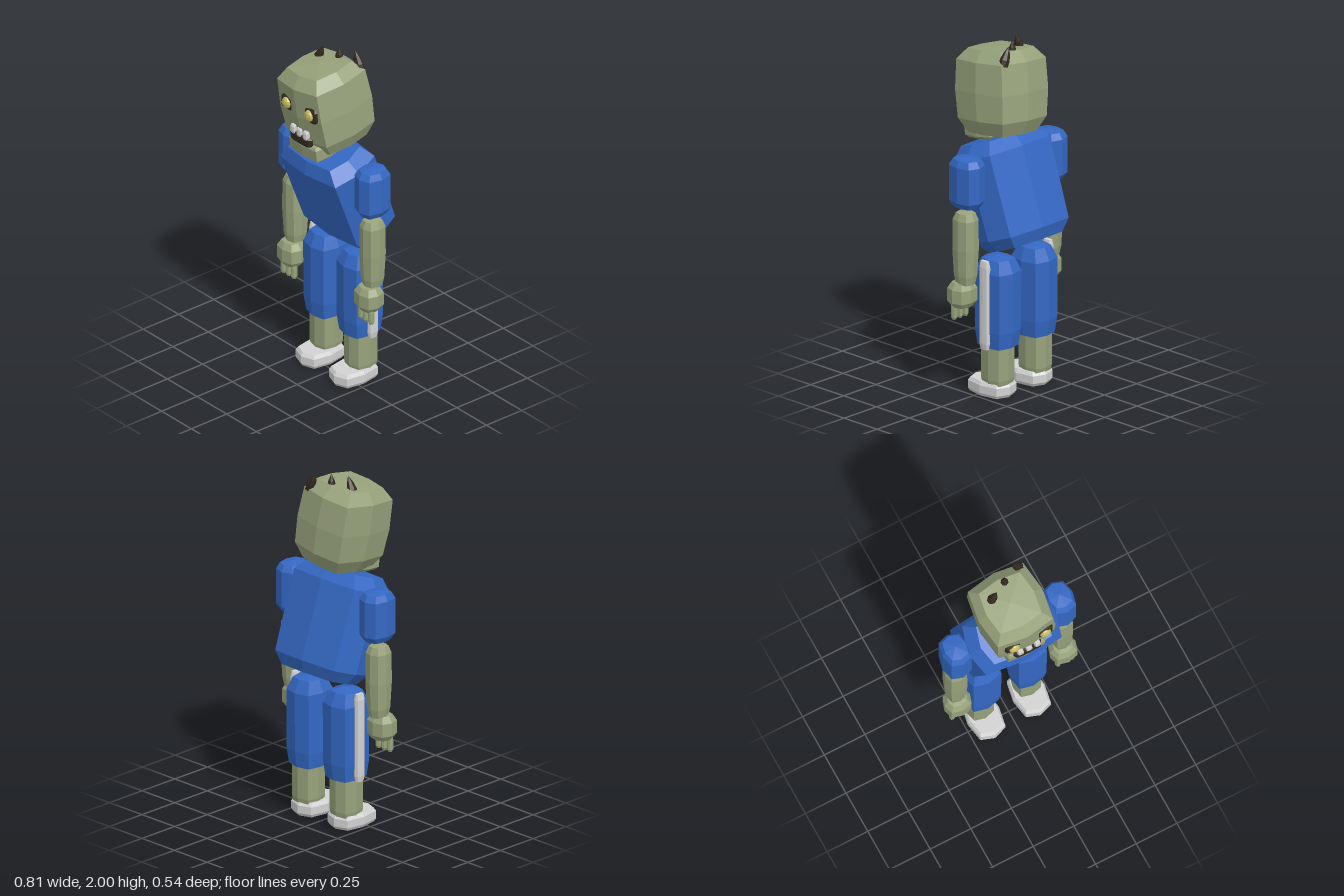
import * as THREE from 'three';

const mat = (name, color) => Object.assign(new THREE.MeshStandardMaterial({ color, flatShading: true }), { name });

// Loft of eight-sided rounded rings [y, halfWidth, halfDepth]; corner sets how square they are.
function loft(rings, corner = 0.8, dome = 0) {
  const pos = [], idx = [], n = 8;
  for (const [y, w, d] of rings) {
    for (let i = 0; i < n; i++) {
      const a = (i * Math.PI) / 4, k = i % 2 ? corner / Math.SQRT1_2 : 1;
      pos.push(Math.sin(a) * k * w, y, Math.cos(a) * k * d);
    }
  }
  const last = rings.length - 1;
  for (let r = 0; r < last; r++) {
    for (let i = 0; i < n; i++) {
      const j = (i + 1) % n, a = r * n + i, b = r * n + j;
      idx.push(a, b, b + n, a, b + n, a + n);
    }
  }
  // end caps meet at a centre point
  const low = rings.length * n, high = low + 1;
  pos.push(0, rings[0][0] - dome, 0, 0, rings[last][0] + dome, 0);
  for (let i = 0; i < n; i++) {
    const j = (i + 1) % n;
    idx.push(low, j, i, high, last * n + i, last * n + j);
  }
  const g = new THREE.BufferGeometry();
  g.setAttribute('position', new THREE.Float32BufferAttribute(pos, 3));
  g.setIndex(idx);
  const flat = g.toNonIndexed();
  flat.computeVertexNormals();
  return flat;
}

export function createModel() {
  const model = new THREE.Group();
  model.name = 'monster';
  const skin = mat('green skin', 0x97a27b);
  const cloth = mat('blue cloth', 0x3468c4);
  const dark = mat('dark brown', 0x33291f);
  const white = mat('pale grey', 0xd2d2d2);
  const yellow = mat('yellow eye', 0xc9be62);

  const add = (name, geometry, material, x, y, z, parent = model) => {
    const m = new THREE.Mesh(geometry, material);
    m.name = name;
    m.position.set(x, y, z);
    parent.add(m);
    return m;
  };

  // Torso, leaning forward
  const torso = add('torso', loft([
    [-0.3, 0.215, 0.125], [-0.235, 0.262, 0.165], [0.225, 0.27, 0.172], [0.297, 0.205, 0.132],
  ], 0.86), cloth, 0, 1.14, -0.04);
  torso.rotation.x = 0.35;

  // Head, tilted to one side and forward
  const head = add('head', loft([
    [-0.235, 0.15, 0.15], [-0.155, 0.195, 0.197], [0, 0.203, 0.208], [0.17, 0.195, 0.2], [0.232, 0.145, 0.145],
  ], 0.87, 0.008), skin, -0.005, 1.695, 0.04);
  head.rotation.set(0.13, 0, 0.1);

  const jaw = add('jaw', loft([
    [-0.05, 0.11, 0.09], [-0.035, 0.125, 0.105], [0.035, 0.125, 0.105], [0.05, 0.115, 0.095],
  ], 0.9), skin, 0, 1.468, 0.115);
  jaw.rotation.x = 0.15;

  // Mouth and teeth
  add('mouth', loft([
    [-0.03, 0.07, 0.018], [-0.018, 0.085, 0.025], [0.018, 0.085, 0.025], [0.03, 0.07, 0.018],
  ], 0.85), dark, 0, 1.53, 0.215);
  for (const x of [-0.052, 0, 0.052]) {
    add('tooth', loft([
      [-0.025, 0.014, 0.012], [-0.012, 0.018, 0.016], [0.015, 0.018, 0.016], [0.025, 0.014, 0.012],
    ], 0.85), white, x, 1.573, 0.23);
  }

  // Eyes in dark sockets
  for (const s of [-1, 1]) {
    add('eyeSocket', loft([
      [-0.045, 0.03, 0.012], [-0.028, 0.047, 0.024], [0.028, 0.047, 0.024], [0.045, 0.03, 0.012],
    ], 0.85), dark, s * 0.1, 1.72, 0.225);
    add('eye', new THREE.SphereGeometry(0.034, 8, 6), yellow, s * 0.095, 1.72, 0.245).scale.z = 0.65;
  }

  // Horns leaning towards the middle
  const hornProfile = [[0, 0], [0.026, 0.005], [0.028, 0.04], [0.018, 0.08], [0, 0.12]]
    .map(([r, y]) => new THREE.Vector2(r, y));
  const horns = [[-0.12, 1.885, 0.005, -0.38], [0, 1.88, -0.047, 0], [0.123, 1.885, -0.095, 0.4]];
  for (const [x, y, z, lean] of horns) {
    add('horn', new THREE.LatheGeometry(hornProfile, 7), dark, x, y, z).rotation.z = lean;
  }

  // Limbs, mirrored left and right
  for (const s of [1, -1]) {
    const side = s > 0 ? 'left' : 'right';
    const arm = new THREE.Group();
    arm.name = side + 'Arm';
    const leg = new THREE.Group();
    leg.name = side + 'Leg';
    model.add(arm, leg);

    add('sleeve', loft([
      [1.115, 0.06, 0.073], [1.15, 0.08, 0.097], [1.355, 0.08, 0.097], [1.39, 0.063, 0.076],
    ], 0.78, 0.012), cloth, s * 0.32, 0, -0.015, arm);
    add('forearm', loft([
      [0.67, 0.045, 0.05], [0.72, 0.055, 0.06], [0.87, 0.063, 0.068], [1.04, 0.061, 0.066], [1.08, 0.046, 0.05],
    ], 0.78, 0.012), skin, s * 0.325, 0, -0.01, arm);
    add('hand', loft([
      [0.535, 0.056, 0.05], [0.565, 0.078, 0.07], [0.64, 0.078, 0.07], [0.675, 0.056, 0.05],
    ], 0.78, 0.008), skin, s * 0.325, 0, 0.015, arm);
    for (const f of [-1, 0, 1]) {
      add('finger', loft([
        [0.462, 0.01, 0.012], [0.475, 0.015, 0.018], [0.53, 0.015, 0.018], [0.55, 0.012, 0.014],
      ], 0.75, 0.004), skin, s * 0.325 + f * 0.043, 0, 0.035, arm);
    }

    add('trouserLeg', loft([
      [0.288, 0.092, 0.1], [0.38, 0.103, 0.113], [0.72, 0.104, 0.114], [0.79, 0.075, 0.08],
    ], 0.82, 0.018), cloth, s * 0.14, 0, -0.075, leg);
    add('stripe', loft([
      [0.285, 0.012, 0.025], [0.32, 0.018, 0.031], [0.76, 0.018, 0.031], [0.795, 0.012, 0.025],
    ], 0.85), white, s * 0.245, 0, -0.078, leg);
    add('ankle', loft([
      [0.06, 0.07, 0.075], [0.1, 0.077, 0.083], [0.31, 0.077, 0.083],
    ], 0.8), skin, s * 0.145, 0, -0.078, leg);
    add('shoe', loft([
      [0, 0.086, 0.125], [0.018, 0.096, 0.137], [0.062, 0.096, 0.137], [0.082, 0.084, 0.122],
    ], 0.8), white, s * 0.14, 0, -0.03, leg);
  }
  return model;
}
